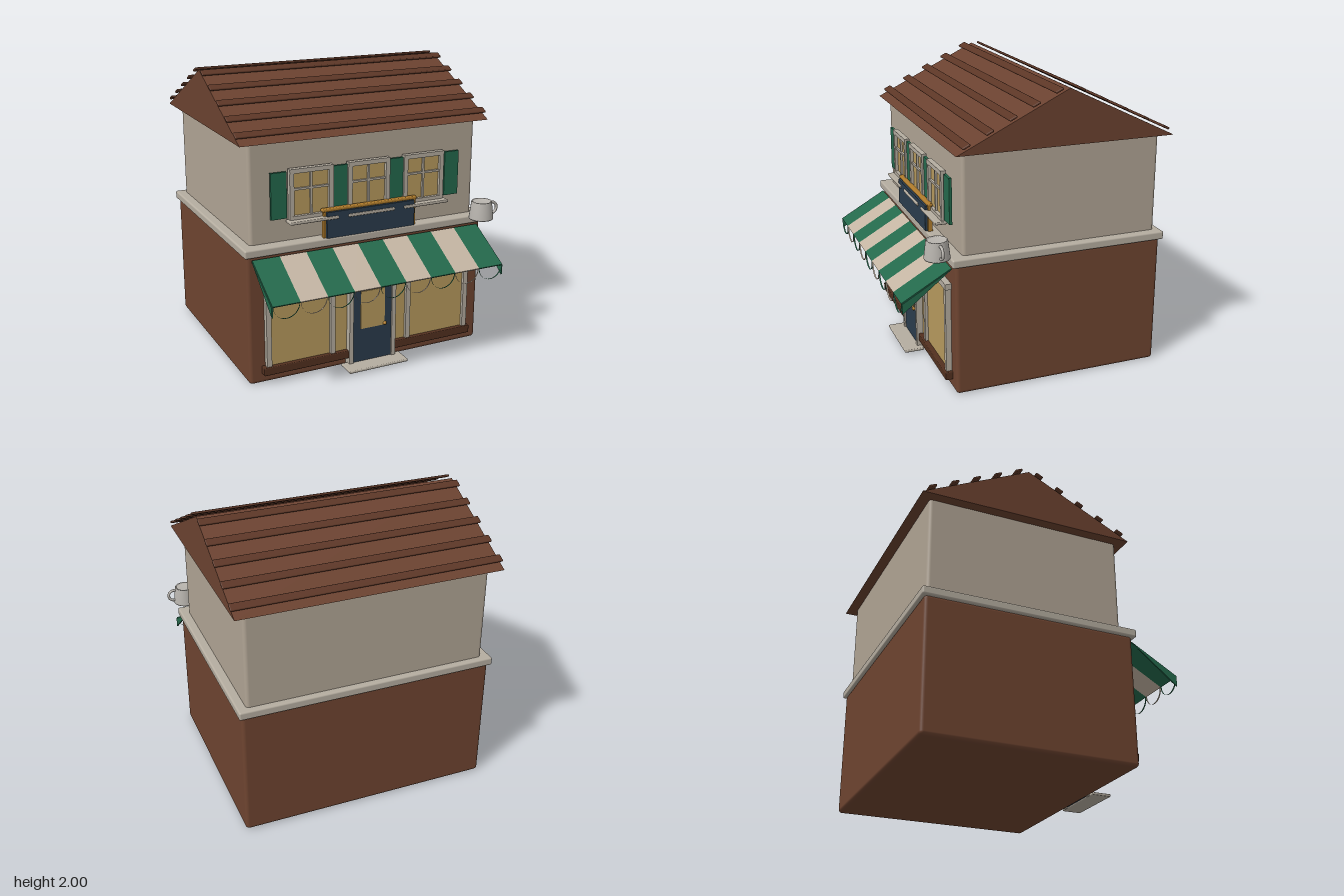
import * as THREE from 'three';
import { RoundedBoxGeometry } from 'three/addons/geometries/RoundedBoxGeometry.js';

const mat = (color, side = THREE.FrontSide) => new THREE.MeshStandardMaterial({ color, side });
const M = {
  brick: mat(0x6e4430), roof: mat(0x6b4230), shingle: mat(0x5c3626), bulkhead: mat(0x52301f),
  plaster: mat(0xb0a494), trim: mat(0xb5ada0), glass: mat(0xb89a5e), green: mat(0x24694c, THREE.DoubleSide),
  cream: mat(0xc4b5a3, THREE.DoubleSide), navy: mat(0x2a3c4d), gold: mat(0xb07c2c), cup: mat(0xb8b4ae),
};

export function createModel() {
  const model = new THREE.Group();
  model.name = 'shop';

  const add = (name, geometry, material, parent = model) => {
    const mesh = new THREE.Mesh(geometry, material);
    mesh.name = name;
    parent.add(mesh);
    return mesh;
  };
  const group = (name) => {
    const g = new THREE.Group();
    g.name = name;
    model.add(g);
    return g;
  };
  // Box given by its extents; a radius rounds the edges
  const box = (name, [x0, x1], [y0, y1], [z0, z1], material, parent = model, radius = 0) => {
    const size = [x1 - x0, y1 - y0, z1 - z0];
    const geometry = radius ? new RoundedBoxGeometry(...size, 3, radius) : new THREE.BoxGeometry(...size);
    const mesh = add(name, geometry, material, parent);
    mesh.position.set((x0 + x1) / 2, (y0 + y1) / 2, (z0 + z1) / 2);
    return mesh;
  };

  // Main masses
  box('groundFloor', [-0.905, 0.86], [0, 0.91], [-0.88, 0.575], M.brick, model, 0.025);
  box('cornice', [-0.925, 0.88], [0.9, 0.957], [-0.9, 0.6], M.trim, model, 0.012);
  box('upperFloor', [-0.86, 0.82], [0.93, 1.645], [-0.855, 0.515], M.plaster, model, 0.025);

  // Gabled roof
  const roof = group('roof');
  const ridgeZ = -0.175;
  const gable = new THREE.Shape([[0.575, 1.63], [ridgeZ, 1.995], [-0.925, 1.63]].map(([z, y]) => new THREE.Vector2(z, y)));
  const gableGeometry = new THREE.ExtrudeGeometry(gable, { depth: 1.82, bevelEnabled: false });
  gableGeometry.rotateY(-Math.PI / 2).translate(0.89, 0, 0);
  add('roofBody', gableGeometry, M.roof, roof);

  // Shingle courses on both slopes
  for (const side of [1, -1]) {
    for (let i = 0; i < 5; i++) {
      const strip = add('shingleCourse', new RoundedBoxGeometry(1.84, 0.016, 0.056, 3, 0.007), M.shingle, roof);
      strip.position.set(-0.02, 1.985 - i * 0.0745, ridgeZ + side * (0.076 + i * 0.152));
      strip.rotation.x = side * 0.46;
    }
  }

  // Upper windows with shutters and sills
  for (const x of [-0.44, -0.022, 0.396]) {
    const w = group('upperWindow');
    w.position.set(x, 0, 0);
    box('pane', [-0.135, 0.135], [1.12, 1.43], [0.525, 0.543], M.glass, w);
    for (const s of [-1, 1]) {
      const jamb = box('jamb', [-0.0155, 0.0155], [1.105, 1.44], [0.53, 0.565], M.trim, w);
      jamb.position.x = s * 0.14;
      const shutter = box('shutter', [-0.055, 0.055], [1.12, 1.43], [0.533, 0.552], M.green, w);
      shutter.position.x = s * 0.226;
    }
    box('head', [-0.155, 0.155], [1.415, 1.445], [0.53, 0.567], M.trim, w);
    box('bottomRail', [-0.155, 0.155], [1.1, 1.13], [0.53, 0.567], M.trim, w);
    box('mullion', [-0.007, 0.007], [1.12, 1.43], [0.538, 0.558], M.trim, w);
    box('crossbar', [-0.135, 0.135], [1.3, 1.314], [0.538, 0.558], M.trim, w);
    box('sill', [-0.172, 0.172], [1.086, 1.106], [0.53, 0.612], M.trim, w, 0.006);
  }

  // Blank sign board
  const sign = group('sign');
  box('signFrame', [-0.367, 0.322], [0.957, 1.14], [0.555, 0.585], M.gold, sign);
  box('signCap', [-0.377, 0.332], [1.135, 1.157], [0.553, 0.59], M.gold, sign, 0.008);
  box('signPanel', [-0.35, 0.305], [0.957, 1.135], [0.58, 0.602], M.navy, sign);

  // Shop front
  const front = group('shopFront');
  box('shopGlass', [-0.785, 0.745], [0.1, 0.73], [0.57, 0.592], M.glass, front);
  for (const x of [-0.777, -0.312, 0.268, 0.737]) {
    box('post', [x - 0.0175, x + 0.0175], [0.1, 0.74], [0.575, 0.613], M.trim, front);
  }
  box('header', [-0.81, 0.77], [0.715, 0.755], [0.57, 0.618], M.trim, front);
  box('bulkhead', [-0.82, 0.775], [0.07, 0.126], [0.57, 0.625], M.bulkhead, front, 0.006);

  // Door and step
  const door = group('door');
  box('doorLeaf', [-0.175, 0.13], [0.022, 0.625], [0.575, 0.627], M.navy, door);
  box('doorGlass', [-0.112, 0.072], [0.275, 0.55], [0.61, 0.633], M.glass, door);
  for (const x of [-0.185, 0.141]) box('doorJamb', [x - 0.015, x + 0.015], [0.015, 0.63], [0.575, 0.638], M.trim, door);
  box('doorHead', [-0.202, 0.158], [0.615, 0.645], [0.575, 0.64], M.trim, door);
  add('doorKnob', new THREE.SphereGeometry(0.013, 16, 12), M.gold, door).position.set(0.072, 0.287, 0.635);
  box('doorStep', [-0.247, 0.203], [0.013, 0.032], [0.6, 0.742], M.trim, door, 0.007);

  // Striped awning with edge scallops
  const awning = group('awning');
  const stripes = 9, left = -0.873, stripeWidth = 1.695 / stripes;
  const drop = 0.19, reach = 0.335;
  for (let i = 0; i < stripes; i++) {
    const x = left + (i + 0.5) * stripeWidth;
    const material = i % 2 ? M.cream : M.green;
    const stripe = add('awningStripe', new THREE.BoxGeometry(stripeWidth, 0.009, Math.hypot(drop, reach)), material, awning);
    stripe.position.set(x, 0.787, 0.756);
    stripe.rotation.x = Math.atan2(drop, reach);
    const scallopGeometry = new THREE.CylinderGeometry(0.09, 0.09, 0.01, 20, 1, true, -Math.PI / 2, Math.PI);
    scallopGeometry.rotateX(Math.PI / 2);
    add('scallop', scallopGeometry, material, awning).position.set(x, 0.692, 0.92);
  }
  // Triangular side cheeks
  const cheek = new THREE.Shape([[0.59, 0.88], [0.92, 0.69], [0.92, 0.62]].map(([z, y]) => new THREE.Vector2(z, y)));
  for (const x of [left, left + 1.695]) {
    const g = new THREE.ExtrudeGeometry(cheek, { depth: 0.01, bevelEnabled: false });
    g.rotateY(-Math.PI / 2).translate(x + 0.005, 0, 0);
    add('awningCheek', g, M.green, awning);
  }

  // Mug standing on the cornice
  const mug = group('mug');
  mug.position.set(0.8, 0.957, 0.677);
  const profile = [[0, 0], [0.083, 0], [0.085, 0.006], [0.071, 0.124], [0.067, 0.128], [0.062, 0.124], [0.061, 0.116], [0, 0.116]];
  add('mugBody', new THREE.LatheGeometry(profile.map(([r, y]) => new THREE.Vector2(r, y)), 32), M.cup, mug);
  const handle = add('mugHandle', new THREE.TorusGeometry(0.04, 0.01, 10, 28), M.cup, mug);
  handle.position.set(0.085, 0.067, 0);

  return model;
}
